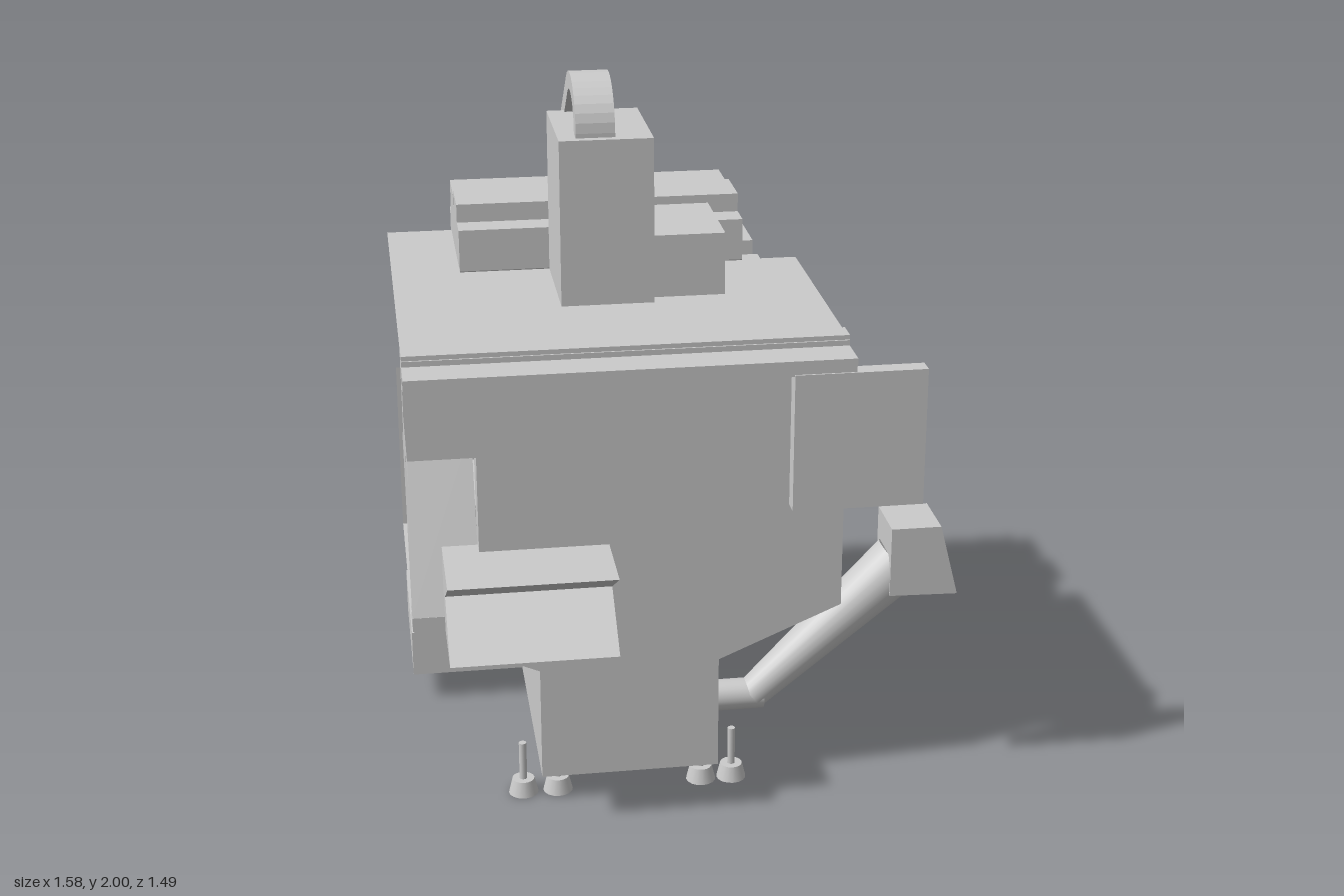
import * as THREE from 'three';

const material = new THREE.MeshStandardMaterial({ color: 0xcccccc, flatShading: true, side: THREE.DoubleSide });
const smoothMaterial = new THREE.MeshStandardMaterial({ color: 0xcccccc, side: THREE.DoubleSide });

export function createModel() {
  const model = new THREE.Group();

  const add = (name, geometry, mat = material) => {
    const mesh = new THREE.Mesh(geometry, mat);
    mesh.name = name;
    model.add(mesh);
    return mesh;
  };

  // Box given by its limits on each axis
  const box = (name, x0, x1, y0, y1, z0, z1) => {
    const mesh = add(name, new THREE.BoxGeometry(x1 - x0, y1 - y0, z1 - z0));
    mesh.position.set((x0 + x1) / 2, (y0 + y1) / 2, (z0 + z1) / 2);
    return mesh;
  };

  const shapeOf = (points) => new THREE.Shape(points.map(([a, b]) => new THREE.Vector2(a, b)));

  // Prism with an (x, y) outline, running along z
  const prismZ = (name, points, z0, z1) => {
    const g = new THREE.ExtrudeGeometry(shapeOf(points), { depth: z1 - z0, bevelEnabled: false });
    g.translate(0, 0, z0);
    return add(name, g);
  };

  // Prism with a (z, y) outline, running along x
  const prismX = (name, points, x0, x1) => {
    const flipped = points.map(([z, y]) => [-z, y]);
    const g = new THREE.ExtrudeGeometry(shapeOf(flipped), { depth: x1 - x0, bevelEnabled: false });
    g.rotateY(Math.PI / 2);
    g.translate(x0, 0, 0);
    return add(name, g);
  };

  // Flat sheet with a (z, y) outline, standing across x
  const sheetX = (name, points, x) => {
    const g = new THREE.ShapeGeometry(shapeOf(points.map(([z, y]) => [-z, y])));
    g.rotateY(Math.PI / 2);
    g.translate(x, 0, 0);
    return add(name, g);
  };

  // Base and funnel tray
  prismX('base', [[0.5, 0.08], [0.5, 0.42], [-0.49, 0.42], [-0.49, 0.35], [-0.66, 0.35], [-0.66, 0.08]], -0.44, 0.07);
  prismZ('funnelTray', [[-0.44, 0.42], [0.07, 0.42], [0.42, 0.57], [-0.79, 0.57]], -0.24, 0.5);

  // Front wall with a notch at the side
  prismZ('frontWall', [[-0.79, 0.57], [0.42, 0.57], [0.42, 1.365], [-0.79, 1.365], [-0.79, 1.08],
    [-0.6, 1.08], [-0.6, 0.61], [-0.79, 0.61]], 0.4, 0.5);
  const slopedPanel = add('slopedPanel', new THREE.PlaneGeometry(0.19, Math.hypot(0.47, 0.215)));
  slopedPanel.position.set(-0.695, 0.845, 0.392);
  slopedPanel.rotation.x = -Math.atan2(0.215, 0.47);
  prismX('topRail', [[0.4, 1.35], [0.4, 1.365], [0.45, 1.365], [0.45, 1.385], [0.515, 1.385], [0.515, 1.355],
    [0.62, 1.355], [0.62, 1.335], [0.5, 1.335]], -0.79, 0.42);
  box('railLip', -0.79, 0.42, 1.31, 1.34, 0.585, 0.615);
  sheetX('upperSideFin', [[0.5, 1.11], [0.75, 1.11], [0.75, 1.17], [0.5, 1.21]], -0.79);
  sheetX('lowerSideFin', [[0.5, 0.865], [0.63, 0.9], [0.63, 0.92], [0.5, 0.92]], -0.79);
  prismX('notchedChute', [[0.45, 0.57], [0.73, 0.57], [0.56, 0.7], [0.73, 0.8], [0.45, 0.8]], -0.7, -0.24);
  box('controlPanel', 0.25, 0.615, 0.92, 1.315, 0.57, 0.62);

  // Thin roof with a cut back corner, and thin back wall
  const roof = new THREE.ShapeGeometry(shapeOf([[-0.79, -0.52], [0.42, -0.52], [0.42, 0.24],
    [0.26, 0.24], [0.26, 0.67], [-0.79, 0.67]]));
  roof.rotateX(-Math.PI / 2);
  roof.translate(0, 1.372, 0);
  add('roof', roof);
  const backWall = add('backWall', new THREE.PlaneGeometry(1.0, 0.51));
  backWall.position.set(-0.29, 0.825, -0.24);

  // Boxes inside and behind the enclosure
  box('sideColumn', 0.17, 0.325, 0.38, 1.27, -0.355, 0.11);
  box('columnCap', 0.17, 0.325, 1.27, 1.35, -0.355, 0.08);
  box('rearBox', -0.31, 0.26, 0.74, 1.36, -0.42, -0.24);
  box('innerBox', -0.7, -0.24, 0.55, 0.77, -0.33, 0.11);
  prismX('electricCabinet', [[-0.385, 0.4], [-0.63, 0.4], [-0.63, 0.475], [-0.73, 0.475],
    [-0.73, 1.385], [-0.385, 1.385]], 0.255, 0.315);

  // Stepped housing on the roof
  prismX('rearHousing', [[-0.23, 1.375], [-0.23, 1.5], [-0.315, 1.5], [-0.315, 1.555], [-0.48, 1.555],
    [-0.48, 1.5], [-0.505, 1.5], [-0.505, 1.535], [-0.665, 1.535], [-0.665, 1.435], [-0.715, 1.435],
    [-0.715, 1.345], [-0.38, 1.325], [-0.25, 1.325]], -0.59, 0.255);
  box('spindleHead', -0.325, -0.06, 1.372, 1.85, -0.23, 0.125);
  box('headSideBox', -0.06, 0.15, 1.372, 1.555, -0.23, 0.08);

  // Flat cable loop from the head back to the housing
  const path = new THREE.CurvePath();
  const v = (z, y) => new THREE.Vector2(z, y);
  path.add(new THREE.LineCurve(v(0.075, 1.84), v(0.075, 1.87)));
  path.add(new THREE.CubicBezierCurve(v(0.075, 1.87), v(0.065, 1.96), v(-0.06, 2.02), v(-0.14, 1.94)));
  path.add(new THREE.LineCurve(v(-0.14, 1.94), v(-0.48, 1.66)));
  path.add(new THREE.QuadraticBezierCurve(v(-0.48, 1.66), v(-0.53, 1.62), v(-0.53, 1.53)));
  const outer = [], inner = [];
  for (let i = 0; i <= 40; i++) {
    const p = path.getPoint(i / 40), t = path.getTangent(i / 40).multiplyScalar(0.025);
    outer.push([p.x + t.y, p.y - t.x]);
    inner.unshift([p.x - t.y, p.y + t.x]);
  }
  prismX('cableLoop', [...outer, ...inner], -0.275, -0.165);

  // Discharge arm: tapered tube and tilted outlet
  const start = new THREE.Vector3(0.2, 0.21, 0.325), end = new THREE.Vector3(0.63, 0.61, 0.325);
  const along = end.clone().sub(start);
  const arm = add('dischargeArm', new THREE.CylinderGeometry(0.085, 0.048, along.length(), 24), smoothMaterial);
  arm.position.copy(start).add(end).multiplyScalar(0.5);
  arm.quaternion.setFromUnitVectors(new THREE.Vector3(0, 1, 0), along.clone().normalize());
  const armRoot = add('armRoot', new THREE.CylinderGeometry(0.046, 0.046, 0.16, 24), smoothMaterial);
  armRoot.rotation.z = Math.PI / 2;
  armRoot.position.set(0.15, 0.21, 0.325);
  prismZ('armOutlet', [[0.585, 0.54], [0.785, 0.535], [0.73, 0.75], [0.585, 0.75]], 0.24, 0.41);

  // Coolant drawer at the side
  box('coolantDrawer', -0.78, -0.44, 0.09, 0.235, -0.62, -0.16);
  box('drawerLid', -0.7, -0.45, 0.235, 0.25, -0.42, -0.36);

  // Levelling feet in pairs
  for (const z of [0.435, -0.7]) {
    for (const x of [-0.49, -0.39, 0.03, 0.12]) {
      const foot = new THREE.Group();
      foot.name = 'levellingFoot';
      const pad = new THREE.Mesh(new THREE.CylinderGeometry(0.032, 0.043, 0.045, 16), smoothMaterial);
      pad.name = 'footPad';
      pad.position.y = 0.0225;
      const stem = new THREE.Mesh(new THREE.CylinderGeometry(0.011, 0.011, 0.12, 12), smoothMaterial);
      stem.name = 'footStem';
      stem.position.y = 0.1;
      foot.add(pad, stem);
      foot.position.set(x, 0, z);
      model.add(foot);
    }
  }
  box('rearFootPlate', -0.44, 0.07, 0.08, 0.11, -0.72, -0.66);

  return model;
}
